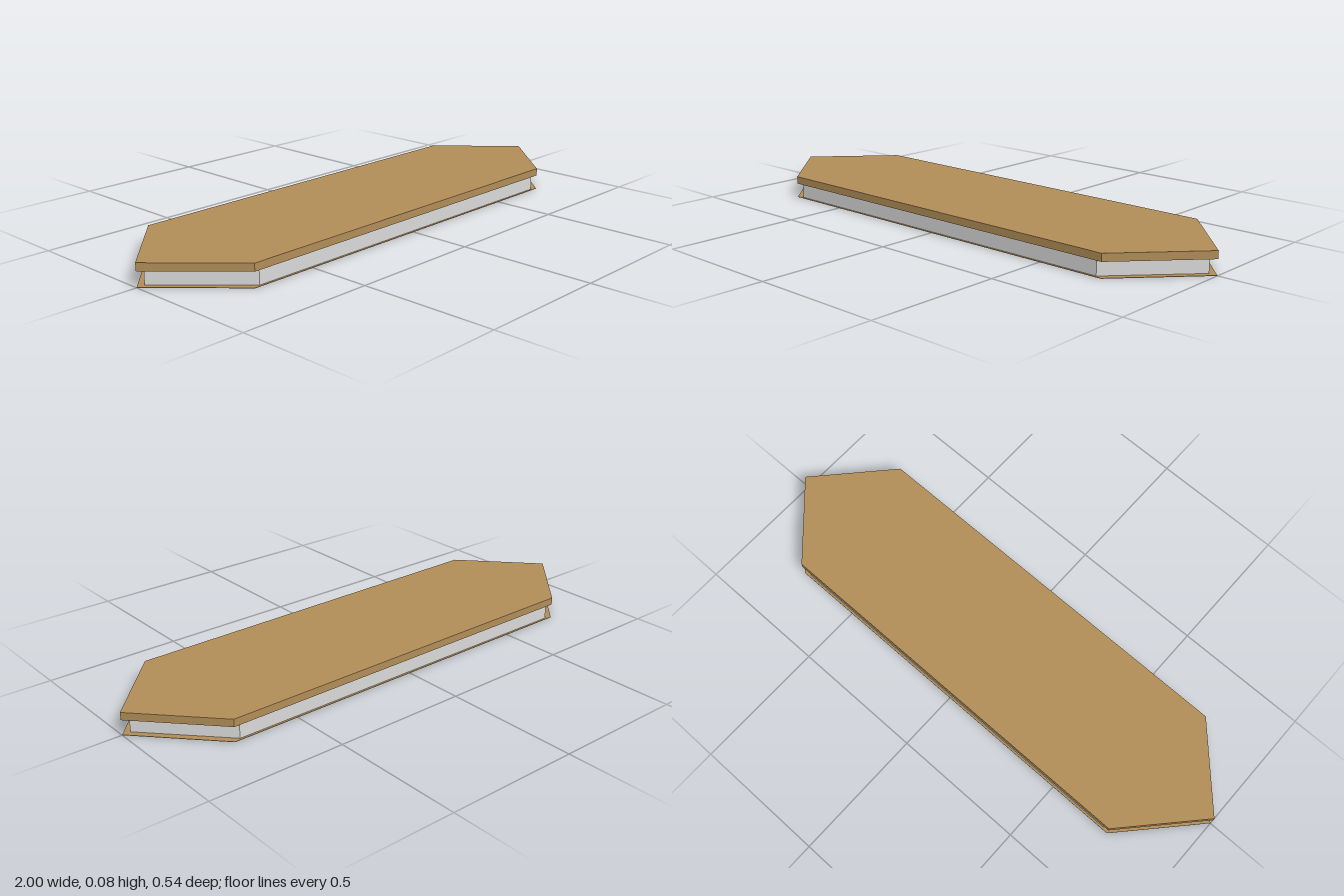
import * as THREE from 'three';

const bronze = new THREE.MeshStandardMaterial({ color: 0xb08d57 });
bronze.name = 'bronze';
const paleGrey = new THREE.MeshStandardMaterial({ color: 0xd9d9d9, side: THREE.DoubleSide });
paleGrey.name = 'pale grey';

// Elongated hexagon: tip on x, corners at (corner, halfDepth)
function hexagon(tip, corner, halfDepth) {
  return [
    [tip, 0], [corner, halfDepth], [-corner, halfDepth],
    [-tip, 0], [-corner, -halfDepth], [corner, -halfDepth],
  ].map(([x, z]) => new THREE.Vector2(x, z));
}

const OUTER = hexagon(1, 0.75, 0.27);
const INNER = hexagon(0.97, 0.725, 0.262);

// Flat slab or ring extruded upward from y0 to y1
function slab(name, outline, hole, y0, y1) {
  const shape = new THREE.Shape(outline);
  if (hole) shape.holes.push(new THREE.Path(hole));
  const geo = new THREE.ExtrudeGeometry(shape, { depth: y1 - y0, bevelEnabled: false });
  geo.rotateX(-Math.PI / 2);
  geo.translate(0, y0, 0);
  const mesh = new THREE.Mesh(geo, bronze);
  mesh.name = name;
  return mesh;
}

export function createModel() {
  const model = new THREE.Group();
  model.name = 'hexagonalTray';

  // Lid: a rim around a thin top, hollow underneath
  model.add(slab('lidRim', OUTER, INNER, 0.055, 0.081));
  model.add(slab('lidTop', OUTER, null, 0.081, 0.083));

  // Narrow flange around the open bottom
  model.add(slab('bottomFlange', OUTER, INNER, 0, 0.0015));

  // Thin wall panels, one per side of the hexagon
  const walls = new THREE.Group();
  walls.name = 'walls';
  INNER.forEach((a, i) => {
    const b = INNER[(i + 1) % INNER.length];
    const geo = new THREE.PlaneGeometry(a.distanceTo(b), 0.0535);
    const panel = new THREE.Mesh(geo, paleGrey);
    panel.name = 'wallPanel';
    panel.position.set((a.x + b.x) / 2, 0.02825, (a.y + b.y) / 2);
    // Turn the panel so that it faces outward
    panel.rotation.y = Math.atan2(b.y - a.y, -(b.x - a.x));
    walls.add(panel);
  });
  model.add(walls);

  return model;
}
